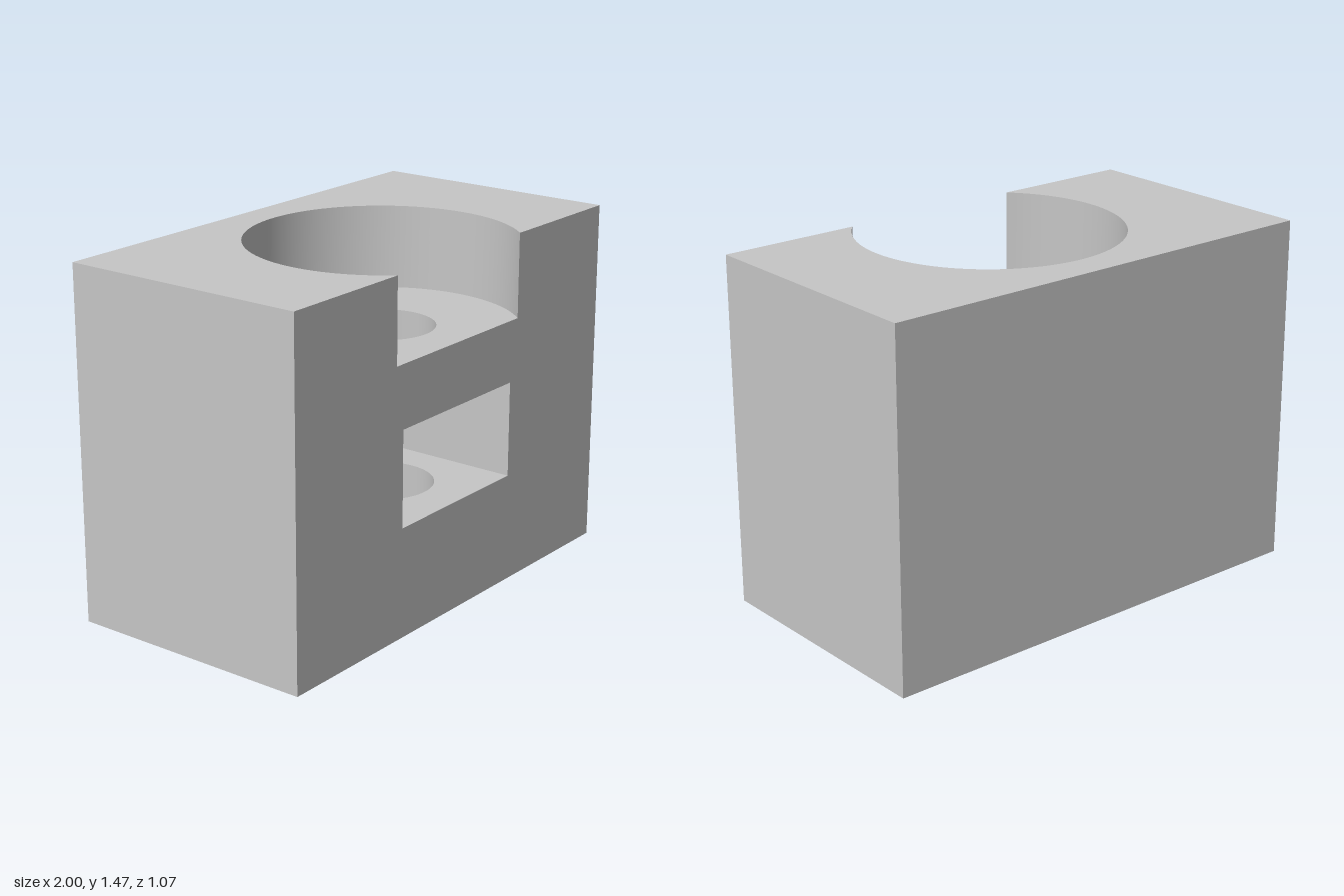
import * as THREE from 'three';
import { mergeVertices } from 'three/addons/utils/BufferGeometryUtils.js';

const W = 1, D = 0.535, H = 1.47;             // half width, half depth, height
const AXIS = 0.16;                            // z of the vertical bore
const BORE = 0.215, SEAT = 0.55, SEAT_Y = 1.12;
const NUT = 0.36, NUT_LOW = 0.46, NUT_HIGH = 0.86;

// Plan points [x, z] along an arc about the bore axis
function arc(radius, from, to, steps) {
  return Array.from({ length: steps + 1 }, (_, i) => {
    const a = from + (to - from) * i / steps;
    return [radius * Math.cos(a), AXIS + radius * Math.sin(a)];
  });
}

function toShape(points, hole) {
  const vectors = (list) => list.map(([a, b]) => new THREE.Vector2(a, b));
  const shape = new THREE.Shape(vectors(points));
  if (hole) shape.holes.push(new THREE.Path(vectors(hole)));
  return shape;
}

// Horizontal face from a plan outline, facing up (-1) or down (1)
function level(points, hole, y, facing) {
  const plan = (list) => list && list.map(([x, z]) => [x, facing * z]);
  return new THREE.ShapeGeometry(toShape(plan(points), plan(hole)))
    .rotateX(facing * Math.PI / 2).translate(0, y, 0);
}

// Vertical wall along a plan path, facing left of travel as seen from below
function wall(path, y0, y1, smooth) {
  const pos = [];
  for (let i = 0; i < path.length - 1; i++) {
    const [ax, az] = path[i], [bx, bz] = path[i + 1];
    pos.push(ax, y0, az, bx, y0, bz, bx, y1, bz, ax, y0, az, bx, y1, bz, ax, y1, az);
  }
  let g = new THREE.BufferGeometry();
  g.setAttribute('position', new THREE.Float32BufferAttribute(pos, 3));
  if (smooth) g = mergeVertices(g);
  g.computeVertexNormals();
  return g;
}

export function createModel() {
  const group = new THREE.Group();
  group.name = 'clampBlock';
  const grey = new THREE.MeshStandardMaterial({ color: 0xc6c6c6 });
  grey.name = 'plain grey';
  const add = (name, geometry) => {
    const mesh = new THREE.Mesh(geometry, grey);
    mesh.name = name;
    group.add(mesh);
  };

  // Plan outlines
  const block = [[-W, D], [W, D], [W, -D], [-W, -D]];
  const bore = arc(BORE, 0, 2 * Math.PI, 72);
  const boreHole = bore.slice(0, -1);
  const cut = Math.asin((D - AXIS) / SEAT);
  const seat = arc(SEAT, Math.PI - cut, 2 * Math.PI + cut, 96);
  const mouth = SEAT * Math.cos(cut);
  const corner = AXIS - NUT / Math.sqrt(3), tip = AXIS - 2 * NUT / Math.sqrt(3);
  const nut = [[-NUT, D], [-NUT, corner], [0, tip], [NUT, corner], [NUT, D]];

  // Outer block
  add('sidesAndBack', wall([...block.slice(1), block[0]], 0, H));
  add('underside', level(block, boreHole, 0, 1));
  add('topFace', level([[-W, D], ...seat, [W, D], [W, -D], [-W, -D]], null, H, -1));
  const front = toShape(
    [[-W, 0], [W, 0], [W, H], [mouth, H], [mouth, SEAT_Y], [-mouth, SEAT_Y], [-mouth, H], [-W, H]],
    [[-NUT, NUT_LOW], [-NUT, NUT_HIGH], [NUT, NUT_HIGH], [NUT, NUT_LOW]]);
  add('frontFace', new THREE.ShapeGeometry(front).translate(0, 0, D));

  // Round seat, open to the front
  add('seatWall', wall(seat, SEAT_Y, H, true));
  add('seatFloor', level(seat, boreHole, SEAT_Y, -1));

  // Pointed nut pocket
  add('pocketWalls', wall(nut, NUT_LOW, NUT_HIGH));
  add('pocketFloor', level(nut, boreHole, NUT_LOW, -1));
  add('pocketCeiling', level(nut, boreHole, NUT_HIGH, 1));

  // Bore, above and below the pocket
  add('upperBore', wall(bore, NUT_HIGH, SEAT_Y, true));
  add('lowerBore', wall(bore, 0, NUT_LOW, true));

  return group;
}
